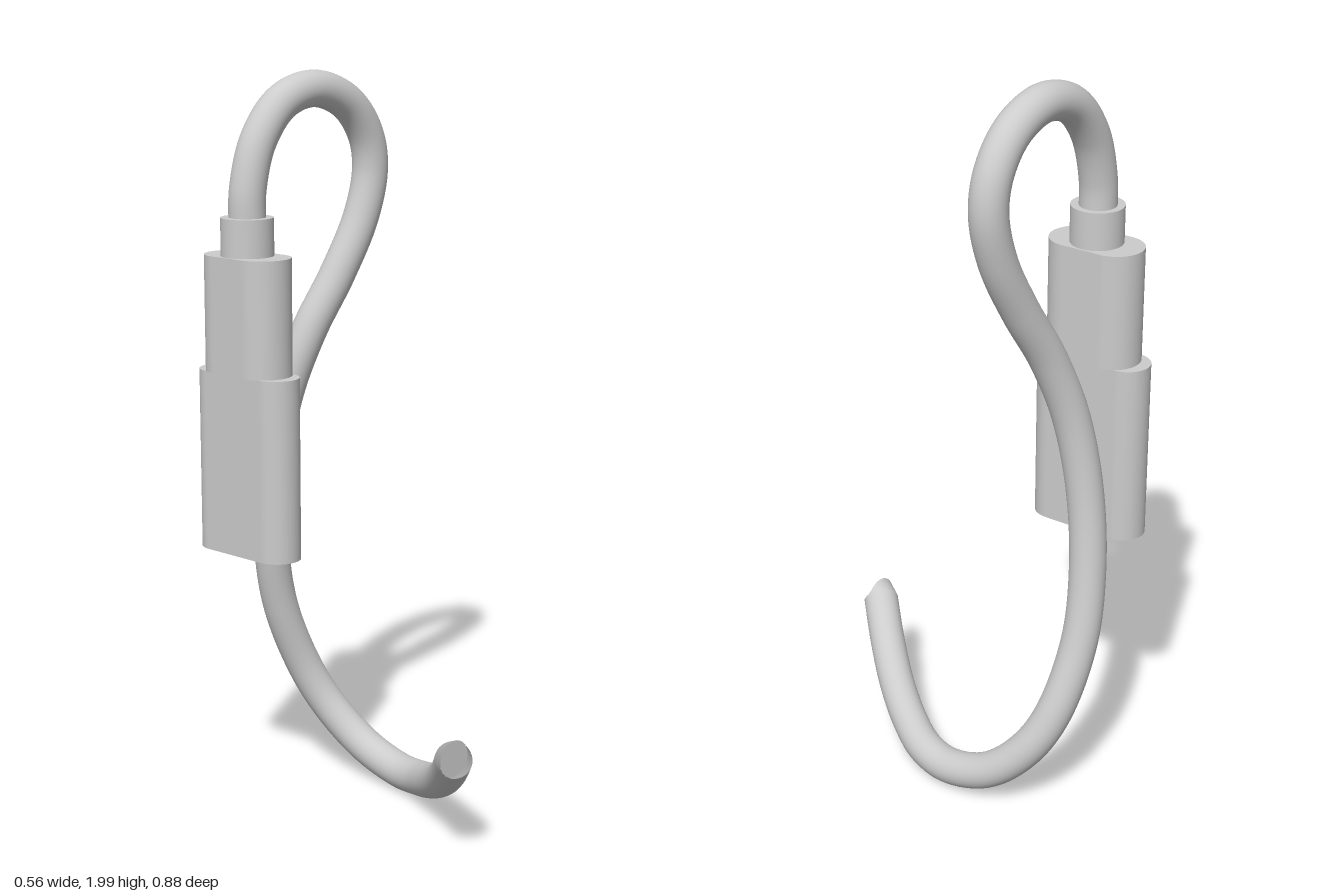
import * as THREE from 'three';

const RADIUS = 0.049;

// Upright block with a rounded-end (stadium) cross-section
function stadiumBlock(name, radius, halfLength, bottom, top, material) {
  const c = halfLength - radius;
  const shape = new THREE.Shape();
  shape.absarc(0, c, radius, 0, Math.PI, false);
  shape.absarc(0, -c, radius, Math.PI, Math.PI * 2, false);
  shape.closePath();
  const geometry = new THREE.ExtrudeGeometry(shape, {
    depth: top - bottom, bevelEnabled: false, curveSegments: 20,
  });
  geometry.rotateX(-Math.PI / 2);
  const mesh = new THREE.Mesh(geometry, material);
  mesh.name = name;
  mesh.position.y = bottom;
  return mesh;
}

export function createModel() {
  const model = new THREE.Group();
  model.name = 'cableWithPlug';
  const material = new THREE.MeshStandardMaterial({ color: 0xcccccc });

  // Plug: flat tip, slightly thicker grip and round collar, turned a little
  const plug = new THREE.Group();
  plug.name = 'plug';
  plug.position.set(-0.205, 0, -0.245);
  plug.rotation.y = 0.07;
  plug.add(stadiumBlock('plugTip', 0.062, 0.164, 0.73, 1.22, material));
  plug.add(stadiumBlock('plugGrip', 0.076, 0.132, 1.22, 1.53, material));
  const collar = new THREE.Mesh(new THREE.CylinderGeometry(0.07, 0.07, 0.1, 40), material);
  collar.name = 'plugCollar';
  collar.position.y = 1.58;
  plug.add(collar);
  model.add(plug);

  // Cable centre line: over the loop, down the back, then forward along the bottom
  const path = new THREE.CatmullRomCurve3([
    [-0.203, 1.6, -0.247], [-0.2, 1.7, -0.247], [-0.163, 1.825, -0.247],
    [-0.082, 1.92, -0.247], [0.03, 1.951, -0.247], [0.145, 1.91, -0.247],
    [0.213, 1.825, -0.247], [0.231, 1.73, -0.247], [0.2, 1.6, -0.25],
    [0.125, 1.45, -0.262], [0.04, 1.3, -0.284], [-0.018, 1.13, -0.315],
    [-0.04, 0.92, -0.349], [-0.025, 0.7, -0.376], [0.015, 0.5, -0.384],
    [0.088, 0.3, -0.357], [0.135, 0.185, -0.3], [0.17, 0.095, -0.2],
    [0.178, 0.056, -0.07], [0.162, 0.064, 0.03], [0.122, 0.093, 0.12],
    [0.063, 0.144, 0.22], [-0.01, 0.213, 0.32], [-0.09, 0.295, 0.418],
  ].map((p) => new THREE.Vector3(...p)));
  const rings = 240, sides = 32;
  const tube = new THREE.TubeGeometry(path, rings, RADIUS, sides, false);

  // Cut the last ring square to the front
  const end = path.getPoint(1);
  const pos = tube.attributes.position;
  const v = new THREE.Vector3();
  for (let i = rings * (sides + 1); i < pos.count; i++) {
    v.fromBufferAttribute(pos, i).sub(end);
    v.z = 0;
    v.setLength(RADIUS).add(end);
    pos.setXYZ(i, v.x, v.y, v.z);
  }
  const cable = new THREE.Mesh(tube, material);
  cable.name = 'cable';
  model.add(cable);

  // Flat cut face at the free end
  const cap = new THREE.Mesh(new THREE.CircleGeometry(RADIUS, sides), material);
  cap.name = 'cableEnd';
  cap.position.copy(end);
  model.add(cap);

  return model;
}
